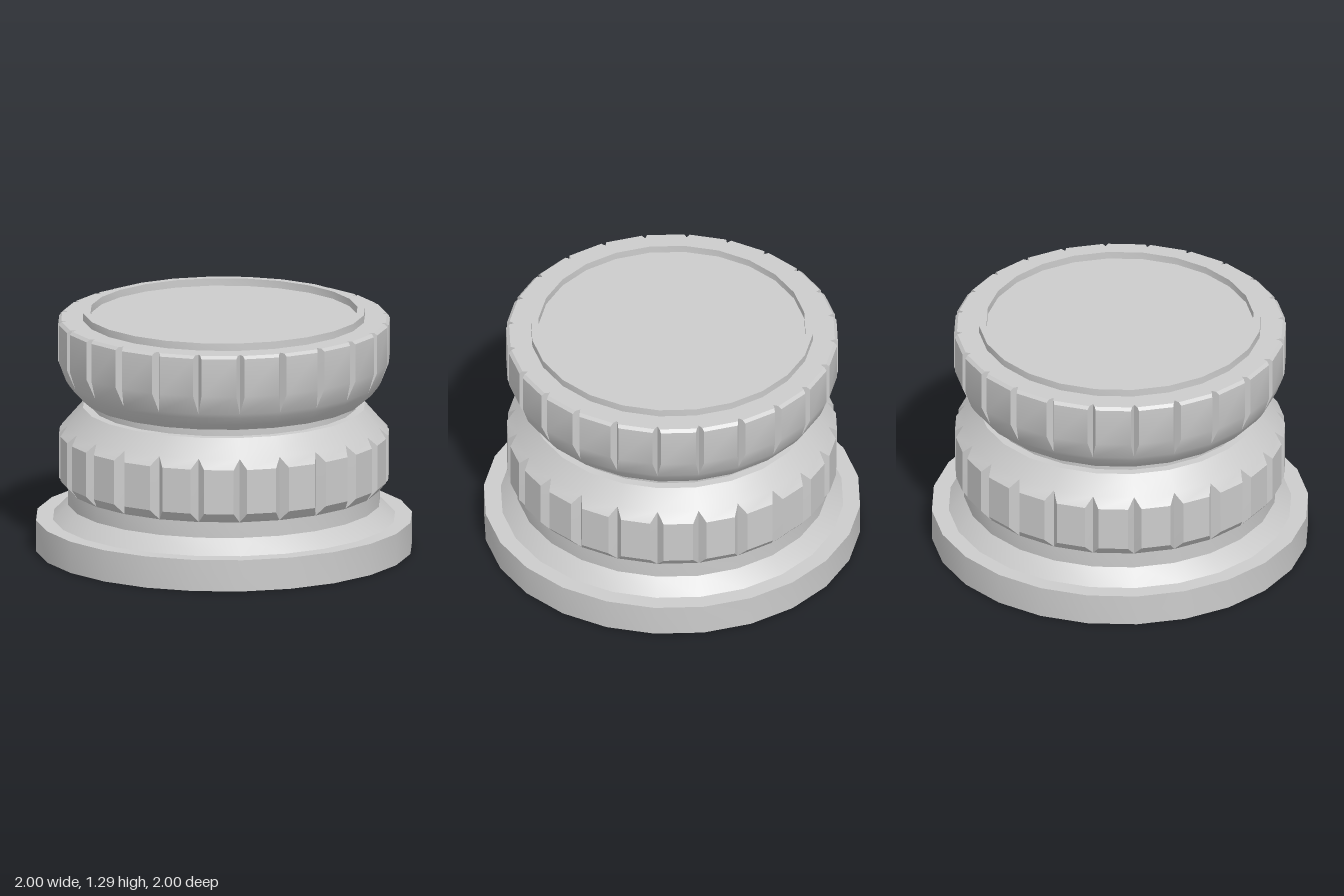
import * as THREE from 'three';
import { toCreasedNormals } from 'three/addons/utils/BufferGeometryUtils.js';

const SIDES = 24;
const CREASE = 0.4;
const material = new THREE.MeshStandardMaterial({ color: 0xcccccc });

function addMesh(group, name, geometry) {
  const mesh = new THREE.Mesh(toCreasedNormals(geometry, CREASE), material);
  mesh.name = name;
  group.add(mesh);
}

// Turned part from [radius, y] pairs, listed bottom to top on the outside
function turned(profile) {
  const points = profile.map(([r, y]) => new THREE.Vector2(r, y));
  const geometry = new THREE.LatheGeometry(points, SIDES).toNonIndexed();
  return geometry;
}

// Ring with a V groove at every corner; rows are [radius, y, groove half width].
// Rows without a half width close the groove to a point.
function groovedRing(rows, grooveRadius) {
  const loops = rows.map(([r, y, half = 0]) => {
    const loop = [];
    for (let k = 0; k < SIDES; k++) {
      const angle = (k * 2 * Math.PI) / SIDES;
      const spread = half / r;
      for (const side of [-1, 0, 1]) {
        const t = angle + side * spread;
        const radius = side === 0 && half > 0 ? grooveRadius : r;
        loop.push(new THREE.Vector3(radius * Math.sin(t), y, radius * Math.cos(t)));
      }
    }
    return loop;
  });

  const positions = [];
  const triangle = new THREE.Triangle();
  const addTriangle = (a, b, c) => {
    if (triangle.set(a, b, c).getArea() < 1e-7) return; // closed groove
    for (const p of [a, b, c]) positions.push(p.x, p.y, p.z);
  };
  for (let i = 0; i < loops.length - 1; i++) {
    const low = loops[i], high = loops[i + 1];
    for (let j = 0; j < low.length; j++) {
      const n = (j + 1) % low.length;
      addTriangle(low[j], low[n], high[n]);
      addTriangle(low[j], high[n], high[j]);
    }
  }
  const geometry = new THREE.BufferGeometry();
  geometry.setAttribute('position', new THREE.Float32BufferAttribute(positions, 3));
  return geometry;
}

export function createModel() {
  const group = new THREE.Group();
  group.name = 'knob';

  // Wide foot with a sloped shoulder and collar
  addMesh(group, 'base', turned([
    [0, 0], [1, 0], [1, 0.17], [0.91, 0.17], [0.83, 0.25], [0.83, 0.335],
  ]));

  // Lower grip, chamfered below and sloping in above
  addMesh(group, 'lowerGrip', groovedRing([
    [0.83, 0.335], [0.875, 0.39, 0.036], [0.875, 0.63, 0.036],
    [0.832, 0.68], [0.75, 0.775], [0.7, 0.775],
  ], 0.832));

  // Narrow neck between the grips
  addMesh(group, 'neck', turned([[0.705, 0.77], [0.705, 0.825]]));

  // Upper grip with a rounded underside
  addMesh(group, 'upperGrip', groovedRing([
    [0.7, 0.82], [0.75, 0.82], [0.79, 0.855], [0.825, 0.9], [0.84, 0.925],
    [0.88, 1.03, 0.022], [0.88, 1.235, 0.022], [0.865, 1.25, 0.014],
    [0.84, 1.25], [0.74, 1.25],
  ], 0.84));

  // Raised rim around the recessed top
  addMesh(group, 'topRim', turned([
    [0.75, 1.25], [0.75, 1.29], [0.71, 1.29], [0.71, 1.25], [0, 1.25],
  ]));

  return group;
}
